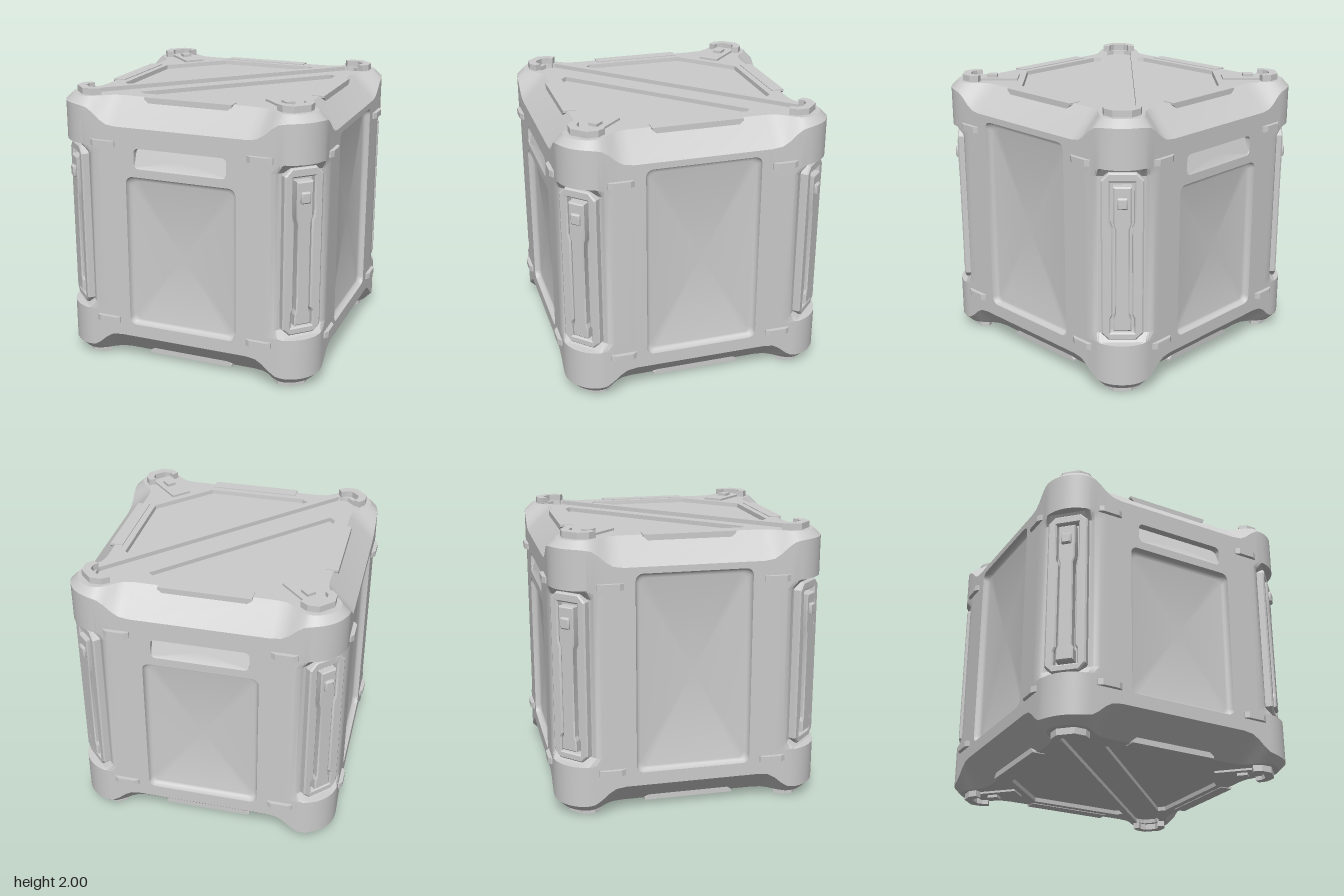
import * as THREE from 'three';
import { toCreasedNormals } from 'three/addons/utils/BufferGeometryUtils.js';

const H = 0.955;                       // half size of the cube body
const R = 0.26;                        // corner radius
const mat = new THREE.MeshStandardMaterial({ color: 0xcccccc });
const V = (x, y) => new THREE.Vector2(x, y);
const points = list => list.map(([x, y]) => V(x, y));

function mesh(name, geo, crease = 0.5) {
  const m = new THREE.Mesh(toCreasedNormals(geo.index ? geo.toNonIndexed() : geo, crease), mat);
  m.name = name;
  return m;
}

function fromTriangles(pos) {
  const g = new THREE.BufferGeometry();
  g.setAttribute('position', new THREE.Float32BufferAttribute(pos, 3));
  return g;
}

const quad = (out, a, b, c, d) => out.push(...a, ...b, ...c, ...a, ...c, ...d);

// Counter-clockwise rounded rectangle, centred on x
function roundRect(hw, y0, y1, r) {
  const pts = [];
  [[hw - r, y0 + r, -1], [hw - r, y1 - r, 0], [r - hw, y1 - r, 1], [r - hw, y0 + r, 2]].forEach(([cx, cy, q]) => {
    for (let i = 0; i <= 5; i++) {
      const a = (q + i / 5) * Math.PI / 2;
      pts.push(V(cx + r * Math.cos(a), cy + r * Math.sin(a)));
    }
  });
  return pts;
}

// Sunken dish behind a counter-clockwise outline facing +z; steps > 1 rounds its wall into the floor
function dish(pts, { top, bottom = top, side = 0.003, upper = side, lower = side, steps = 1 }) {
  const box = new THREE.Box2().setFromPoints(pts);
  const size = box.getSize(V(0, 0)), cx = (box.min.x + box.max.x) / 2;
  const loops = [];
  for (let s = 0; s <= steps; s++) {
    const a = s / steps * Math.PI / 2, inset = 1 - Math.cos(a), sink = Math.sin(a);
    loops.push(pts.map(p => {
      const t = (p.y - box.min.y) / size.y;
      return [cx + (p.x - cx) * (1 - 2 * inset * side / size.x),
        p.y + inset * (lower * (1 - t) - upper * t), -sink * (bottom + (top - bottom) * t)];
    }));
  }
  const floor = loops[steps], out = [];
  const mid = floor.reduce((s, p) => s.map((v, k) => v + p[k] / pts.length), [0, 0, 0]);
  pts.forEach((p, i) => {
    const j = (i + 1) % pts.length;
    for (let s = 0; s < steps; s++) quad(out, loops[s][i], loops[s][j], loops[s + 1][j], loops[s + 1][i]);
    out.push(...mid, ...floor[i], ...floor[j]);
  });
  return fromTriangles(out);
}

function plateWithHoles(outline, holes) {
  const s = new THREE.Shape(outline);
  holes.forEach(h => s.holes.push(new THREE.Path(h)));
  return s;
}

// Flat slab from [x, z] corners, between two heights
function slab(pts, y0, y1) {
  const g = new THREE.ExtrudeGeometry(new THREE.Shape(pts.map(([x, z]) => V(x, -z))), { depth: y1 - y0, bevelEnabled: false });
  return g.rotateX(-Math.PI / 2).translate(0, y0, 0);
}

function extrude(shape, z0, z1, bevel = 0) {
  return new THREE.ExtrudeGeometry(shape, {
    depth: z1 - z0 - bevel, bevelEnabled: bevel > 0, bevelSize: bevel, bevelOffset: -bevel,
    bevelThickness: bevel, bevelSegments: 1
  }).translate(0, 0, z0);
}

// Quarter perimeter: position, outward normal and edge bevel width
function perimeter() {
  const run = [[0.48, 0.18], [0.55, 0.17], [0.6, 0.14], [0.65, 0.095]];
  const quarter = run.map(([x, d]) => ({ x, z: H, nx: 0, nz: 1, d }));
  for (let i = 0; i <= 24; i++) {
    const a = i / 24 * Math.PI / 2, nx = Math.sin(a), nz = Math.cos(a);
    const d = 0.05 + 0.015 * Math.abs(i / 12 - 1) ** 4;
    quarter.push({ x: H - R + R * nx, z: H - R + R * nz, nx, nz, d });
  }
  run.reverse().forEach(([z, d]) => quarter.push({ x: H, z, nx: 1, nz: 0, d }));
  return quarter;
}

// Shell: stacked loops, with the corners cut flat for the handles
function shellAndCap() {
  const quarter = perimeter(), n = quarter.length;
  const ring = (yOf, inset, cut) => {
    const pts = [];
    for (let k = 0; k < 4; k++) quarter.forEach(p => {
      let x = p.x - (inset ? p.nx * p.d : 0), z = p.z - (inset ? p.nz * p.d : 0);
      const over = Math.max(0, (x + z) / Math.SQRT2 - cut) / Math.SQRT2;
      x -= over; z -= over;
      for (let i = 0; i < k; i++) [x, z] = [z, -x];
      pts.push([x, yOf(p.d), z]);
    });
    return pts;
  };
  const pocket = [[-0.61, 9], [-0.605, 1.19], [-0.55, 1.147], [0.565, 1.147], [0.625, 1.19], [0.63, 9]];
  const rings = [
    ring(() => -H, true, 9), ring(d => d - H, false, 9),
    ...pocket.map(([y, cut]) => ring(() => y, false, cut)),
    ring(d => H - d, false, 9), ring(() => H, true, 9)
  ];
  const out = [];
  for (let j = 0; j < rings.length - 1; j++) for (let i = 0; i < 4 * n; i++) {
    if (i % n === n - 1 && j > 0 && j < rings.length - 2) continue; // wall panels go here
    const i2 = (i + 1) % (4 * n);
    quad(out, rings[j][i], rings[j][i2], rings[j + 1][i2], rings[j + 1][i]);
  }
  return { shell: fromTriangles(out), cap: rings[rings.length - 1].map(([x, , z]) => V(x, -z)) };
}

// Wall panel with its recesses
function wall(isSide) {
  const g = new THREE.Group();
  g.name = isSide ? 'sideWall' : 'frontWall';
  const rect = points([[-0.48, -0.775], [0.48, -0.775], [0.48, 0.775], [-0.48, 0.775]]);
  const panel = roundRect(0.405, -0.68, isSide ? 0.73 : 0.43, 0.05);
  const slot = roundRect(0.34, 0.49, 0.635, 0.035);
  g.add(mesh('wallPanel', new THREE.ShapeGeometry(plateWithHoles(rect, isSide ? [panel] : [panel, slot]))));
  g.add(mesh('panelRecess', dish(panel, { top: 0.045, side: 0.035, upper: 0.04, lower: 0.03, steps: 4 })));
  if (!isSide) g.add(mesh('fingerSlot', dish(slot, { top: 0.05, bottom: 0.002 })));
  g.children.forEach(m => { m.position.z = H; });
  // small tabs near the wall corners
  for (const sx of [-1, 1]) for (const y of [-0.66, 0.652]) {
    const tab = mesh('tab', slab([[-0.097, -0.03], [-0.09, 0.01], [-0.06, 0.028], [0.06, 0.028], [0.09, 0.01], [0.097, -0.03]], -0.022, 0.022));
    tab.position.set(sx * 0.575, y, H);
    g.add(tab);
  }
  return g;
}

// Tall outline with wider ends
function stepped(wide, narrow, y0, y1) {
  const right = [[wide, y0], [wide, -0.43], [narrow, -0.4], [narrow, 0.22], [wide, 0.26], [wide, y1]];
  return points([...right, ...right.map(([x, y]) => [-x, y]).reverse()]);
}

function cornerHandle() {
  const g = new THREE.Group();
  g.name = 'cornerHandle';
  const w = 0.142, c = 0.05, y0 = -0.585, y1 = 0.6;
  const frame = points([[c - w, y0], [w - c, y0], [w, y0 + c], [w, y1 - c], [w - c, y1], [c - w, y1], [-w, y1 - c], [-w, y0 + c]]);
  g.add(mesh('handleFrame', extrude(plateWithHoles(frame, [stepped(0.08, 0.065, -0.53, 0.535)]), 1.14, 1.2, 0.01), 0.3));
  g.add(mesh('handleBar', extrude(new THREE.Shape(stepped(0.06, 0.048, -0.51, 0.51)), 1.14, 1.215, 0.008), 0.3));
  g.add(mesh('handleKnob', extrude(new THREE.Shape(roundRect(0.035, 0.36, 0.44, 0.008)), 1.2, 1.235, 0.01)));
  return g;
}

// Lid: top plate with channel and triangular recesses, brackets, latches
function lid(cap) {
  const g = new THREE.Group();
  g.name = 'lid';
  const upper = points([[-0.675, 0.32], [-0.675, -0.395], [-0.635, -0.43], [0.43, 0.635], [0.385, 0.675], [-0.32, 0.675]]);
  const lower = upper.map(p => V(-p.x, -p.y));
  const channel = points([[1.06, -0.045], [1.06, 0.045], [1.01, 0.095], [-1.01, 0.095], [-1.06, 0.045], [-1.06, -0.045], [-1.01, -0.095], [1.01, -0.095]])
    .map(p => p.rotateAround(V(0, 0), Math.PI / 4));
  const parts = [
    mesh('topPlate', new THREE.ShapeGeometry(plateWithHoles(cap, [upper, lower, channel]))),
    ...[upper, lower].map(t => mesh('triangleRecess', dish(t, { top: 0.03 }), 0.3)),
    mesh('diagonalChannel', dish(channel, { top: 0.03 }), 0.3)
  ];
  parts.forEach(m => { m.rotation.x = -Math.PI / 2; m.position.y = H; g.add(m); });

  for (let k = 0; k < 4; k++) {
    const q = new THREE.Group();
    q.name = 'lidCorner';
    q.rotation.y = k * Math.PI / 2;
    // C-shaped foot bracket hugging the corner
    const outer = [[0.64, 0.82], [0.69, 0.857], [0.77, 0.857]], inner = [[0.745, 0.8], [0.7, 0.8], [0.665, 0.775]];
    const flip = l => l.map(([x, z]) => [z, x]).reverse();
    q.add(mesh('footBracket', slab([...outer, ...flip(outer), ...flip(inner), ...inner], H - 0.03, 1), 0.3));
    // raised block on the bevelled edge
    const block = new THREE.Shape(points([[-0.29, 0.92], [0.29, 0.92], [0.32, 0.945], [0.32, 0.96], [-0.32, 0.96], [-0.32, 0.945]]));
    q.add(mesh('edgeBlock', extrude(block, 0.72, 0.81), 0.3));
    if (k % 2 === 0) {
      const latch = new THREE.Group();
      latch.name = 'latch';
      latch.rotation.y = Math.PI / 4;
      latch.add(mesh('latchPlate', new THREE.BoxGeometry(0.15, 0.03, 0.32).translate(0, H, 0.91)));
      latch.add(mesh('latchKnob', new THREE.BoxGeometry(0.065, 0.03, 0.075).translate(0, H + 0.02, 0.94)));
      q.add(latch);
    }
    g.add(q);
  }
  return g;
}

export function createModel() {
  const model = new THREE.Group();
  model.name = 'crate';
  const body = new THREE.Group();
  body.name = 'body';
  body.position.y = 1;
  model.add(body);

  const { shell, cap } = shellAndCap();
  body.add(mesh('shell', shell));
  for (let k = 0; k < 4; k++) {
    const w = wall(k % 2 === 1);
    w.rotation.y = k * Math.PI / 2;
    const h = cornerHandle();
    h.rotation.y = (k + 0.5) * Math.PI / 2;
    body.add(w, h);
  }
  // the base repeats the lid, turned over about the diagonal
  const base = lid(cap);
  base.name = 'base';
  base.quaternion.setFromAxisAngle(new THREE.Vector3(1, 0, -1).normalize(), Math.PI);
  body.add(lid(cap), base);
  return model;
}
